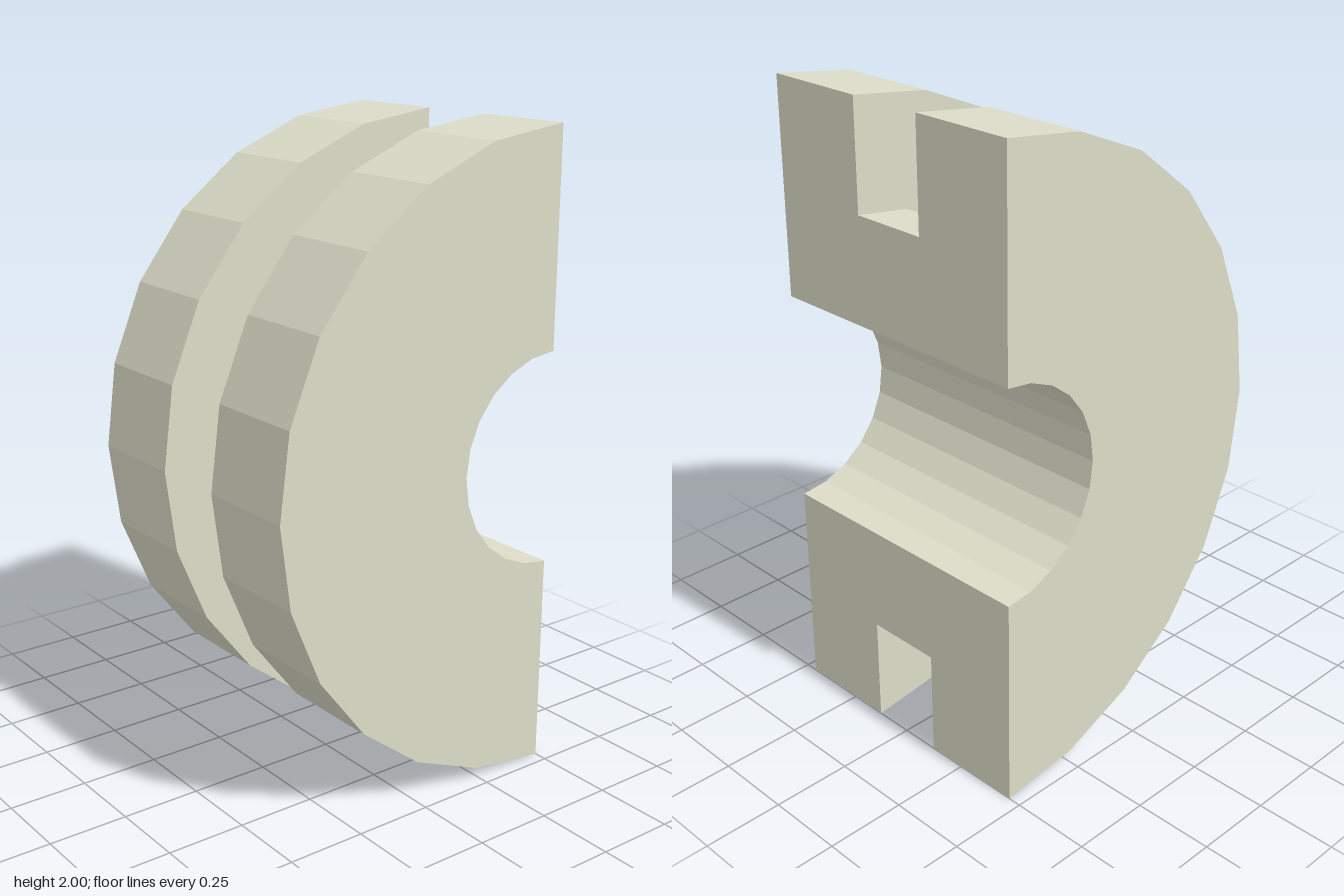
import * as THREE from 'three';

const OUTER = 1, GROOVE = 0.665, BORE = 0.3333;
const HALF_WIDTH = 0.4583, HALF_GROOVE = 0.125;
const CENTRE = new THREE.Vector3(0, 1, -0.5);

export function createModel() {
  const group = new THREE.Group();
  group.name = 'halfGroovedWheel';
  const material = new THREE.MeshStandardMaterial({ color: 0xdcdcc8, flatShading: true });

  const add = (name, geometry) => {
    const mesh = new THREE.Mesh(geometry.translate(CENTRE.x, CENTRE.y, CENTRE.z), material);
    mesh.name = name;
    group.add(mesh);
  };

  // Grooved cross-section as (radius, position along the axle)
  const profile = [
    [BORE, -HALF_WIDTH], [OUTER, -HALF_WIDTH], [OUTER, -HALF_GROOVE], [GROOVE, -HALF_GROOVE],
    [GROOVE, HALF_GROOVE], [OUTER, HALF_GROOVE], [OUTER, HALF_WIDTH], [BORE, HALF_WIDTH],
  ].map(([r, a]) => new THREE.Vector2(r, a));

  // Half-turn body: axle along x, round side towards +z
  const body = new THREE.LatheGeometry([...profile, profile[0].clone()], 12, 0, Math.PI);
  body.applyMatrix4(new THREE.Matrix4().set(
    0, 1, 0, 0,
    0, 0, 1, 0,
    1, 0, 0, 0,
    0, 0, 0, 1,
  ));
  add('wheelBody', body.toNonIndexed());

  // Flat cut faces above and below the bore, facing -z
  const section = new THREE.Shape(profile.map((p) => new THREE.Vector2(p.y, p.x)));
  add('upperCutFace', new THREE.ShapeGeometry(section).rotateY(Math.PI));
  add('lowerCutFace', new THREE.ShapeGeometry(section).rotateX(Math.PI));

  return group;
}
